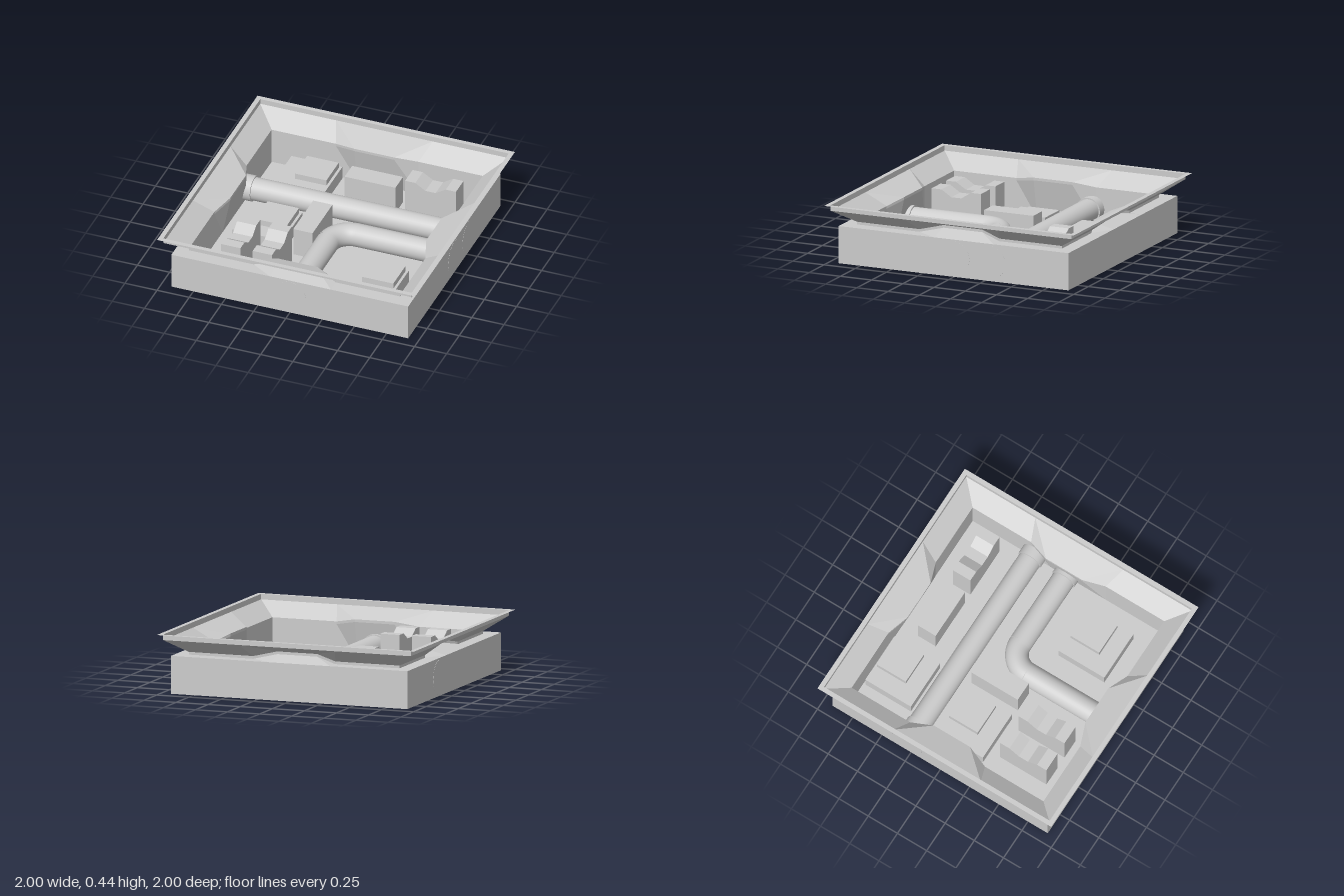
import * as THREE from 'three';

const mat = () => new THREE.MeshStandardMaterial({ color: 0xcccccc });
const flat = () => new THREE.MeshStandardMaterial({ color: 0xcccccc, flatShading: true, side: THREE.DoubleSide });

export function createModel() {
  const model = new THREE.Group();

  function add(name, geometry, material = mat(), parent = model) {
    const mesh = new THREE.Mesh(geometry, material);
    mesh.name = name;
    parent.add(mesh);
    return mesh;
  }

  function box(name, x0, x1, y0, y1, z0, z1, parent) {
    const mesh = add(name, new THREE.BoxGeometry(x1 - x0, y1 - y0, z1 - z0), mat(), parent);
    mesh.position.set((x0 + x1) / 2, (y0 + y1) / 2, (z0 + z1) / 2);
  }

  // Tray: square cross-sections joined in order; the middle of each side bulges.
  // r, y: normal section; br, by: bulged section; a, b: bulge half-widths
  const levels = [
    { r: 0.82, y: 0.02 },
    { r: 0.82, y: 0.28, br: 0.76, by: 0.315 },
    { r: 0.92, y: 0.28 },
    { r: 0.92, y: 0.002 },
  ];
  const rim = [
    { r: 0.82, y: 0.28, br: 0.76, by: 0.315 },
    { r: 0.82, y: 0.30, br: 0.76, by: 0.335 },
    { r: 0.965, y: 0.40, a: 0.375, b: 0.375 },
    { r: 0.965, y: 0.44, a: 0.375, b: 0.375 },
    { r: 1.0, y: 0.44, a: 0.375, b: 0.375 },
  ];

  function section({ r, y, br = r, by = y, a = 0.32, b = 0.155 }) {
    const side = [[-r, y, r], [-a, y, r], [-b, by, br], [b, by, br], [a, y, r]];
    const points = [];
    for (let k = 0; k < 4; k++) {
      const c = Math.round(Math.cos(k * Math.PI / 2)), s = Math.round(Math.sin(k * Math.PI / 2));
      for (const [x, h, z] of side) points.push([x * c + z * s, h, z * c - x * s]);
    }
    return points;
  }

  function skin(sections) {
    const rows = sections.map(section), n = rows[0].length, index = [];
    for (let i = 0; i + 1 < rows.length; i++) {
      for (let j = 0; j < n; j++) {
        const p = i * n + j, q = i * n + (j + 1) % n;
        index.push(p, q, q + n, p, q + n, p + n);
      }
    }
    const g = new THREE.BufferGeometry();
    g.setAttribute('position', new THREE.Float32BufferAttribute(rows.flat(2), 3));
    g.setIndex(index);
    const out = g.toNonIndexed();
    out.computeVertexNormals();
    return out;
  }

  add('trayWalls', skin(levels), flat());
  add('flaredRim', skin(rim), flat());
  box('trayFloor', -0.919, 0.919, 0.002, 0.02, -0.919, 0.919);

  // Stepped equipment blocks
  for (const [x, z] of [[-0.66, -0.805], [-0.715, -0.155], [0.275, 0.26]]) {
    const unit = new THREE.Group();
    unit.name = 'steppedUnit';
    model.add(unit);
    box('unitBase', x, x + 0.395, 0, 0.12, z, z + 0.39, unit);
    box('unitTop', x + 0.13, x + 0.375, 0.12, 0.165, z + 0.02, z + 0.265, unit);
  }

  // Plain tall blocks
  box('tallBlock', -0.14, 0.255, 0, 0.24, -0.68, -0.53);
  box('tallBlock', -0.24, -0.09, 0, 0.24, -0.16, 0.235);

  // Blocks with a saddle-shaped top
  const saddle = new THREE.Shape();
  const high = 0.32, low = 0.27, step = 0.079;
  saddle.moveTo(0, 0);
  saddle.lineTo(step * 5, 0);
  [high, high, low, low, high, high].forEach((h, i) => saddle.lineTo(step * (5 - i), h));
  const saddleGeometry = new THREE.ExtrudeGeometry(saddle, { depth: 0.15, bevelEnabled: false });
  add('saddleBlock', saddleGeometry).position.set(0.33, 0, -0.68);
  for (const x of [-0.615, -0.37]) {
    const block = add('saddleBlock', saddleGeometry);
    block.rotation.y = -Math.PI / 2;
    block.position.set(x + 0.152, 0, 0.32);
  }

  // Pipes with collars where they pass through the walls
  const pipeY = 0.14, pipeR = 0.086;
  function collar(x, z, angle, start) {
    const group = new THREE.Group();
    group.name = 'pipeCollar';
    group.position.set(x, pipeY, z);
    group.rotation.y = angle;
    model.add(group);
    for (const [r, from, to] of [[0.096, start, 0.87], [0.127, 0.85, 0.921]]) {
      const ring = add('collarRing', new THREE.CylinderGeometry(r, r, to - from, 32), mat(), group);
      ring.rotation.z = -Math.PI / 2;
      ring.position.x = (from + to) / 2;
    }
  }

  const straight = add('straightPipe', new THREE.CylinderGeometry(pipeR, pipeR, 1.8, 32));
  straight.rotation.z = Math.PI / 2;
  straight.position.set(0, pipeY, -0.287);
  collar(0, -0.287, 0, 0.745);
  collar(0, -0.287, Math.PI, 0.745);

  const v = (x, z) => new THREE.Vector3(x, pipeY, z);
  const bend = 0.17, arc = [];
  for (let i = 0; i <= 12; i++) {
    const t = i / 12 * Math.PI / 2;
    arc.push(v(bend - bend * Math.cos(t), bend - bend * Math.sin(t)));
  }
  const elbow = new THREE.CatmullRomCurve3(arc);
  add('elbowPipe', new THREE.TubeGeometry(elbow, 20, pipeR, 32));
  const legLength = 0.9 - bend;
  const legGeometry = new THREE.CylinderGeometry(pipeR, pipeR, legLength, 32);
  const legX = add('elbowPipeSideLeg', legGeometry);
  legX.rotation.z = Math.PI / 2;
  legX.position.copy(v(bend + legLength / 2, 0));
  const legZ = add('elbowPipeFrontLeg', legGeometry);
  legZ.rotation.x = Math.PI / 2;
  legZ.position.copy(v(0, bend + legLength / 2));
  collar(0, 0, 0, 0.75);
  collar(0, 0, -Math.PI / 2, 0.75);

  return model;
}
